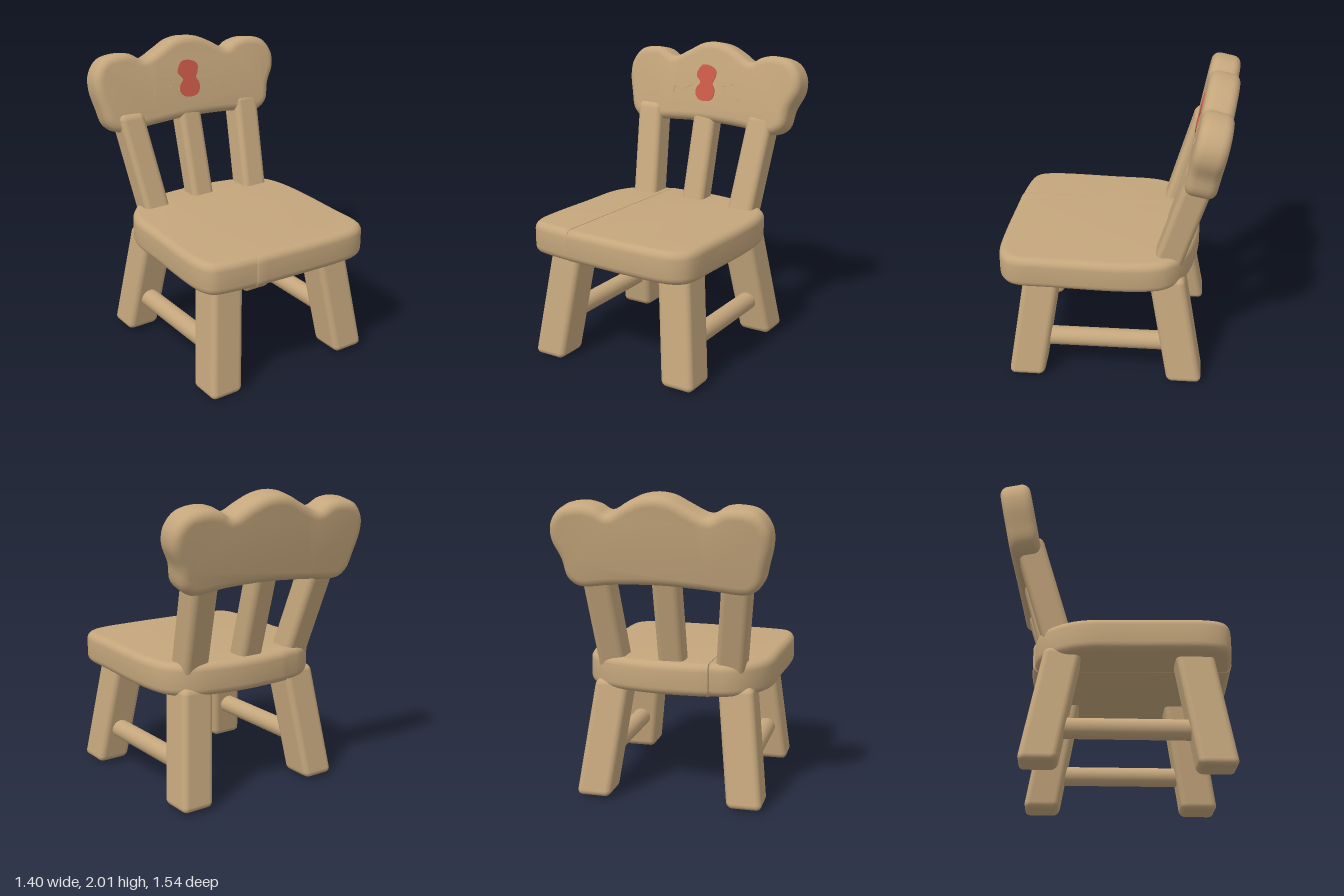
import * as THREE from 'three';
import { toCreasedNormals } from 'three/addons/utils/BufferGeometryUtils.js';
import { RoundedBoxGeometry } from 'three/addons/geometries/RoundedBoxGeometry.js';

const wood = new THREE.MeshStandardMaterial({ color: 0xc4a67c });
wood.name = 'wood';
const red = new THREE.MeshStandardMaterial({ color: 0xcb5a48 });
red.name = 'red paint';

const vec2 = (points) => points.map(([x, y]) => new THREE.Vector2(x, y));

// Smooth closed outline through a few points
function closedOutline(points, divisions) {
  const curve = new THREE.CatmullRomCurve3(points.map(([x, y]) => new THREE.Vector3(x, y, 0)), true);
  return new THREE.Shape(curve.getPoints(divisions).slice(0, -1).map((p) => new THREE.Vector2(p.x, p.y)));
}

// Slab with rounded rims that spans z = 0 to thickness and keeps its outline size
function slab(shape, thickness, round) {
  return new THREE.ExtrudeGeometry(shape, {
    depth: thickness - 2 * round, bevelThickness: round, bevelSize: round,
    bevelOffset: -round, bevelSegments: 5, curveSegments: 8,
  }).translate(0, 0, round);
}

function addMesh(parent, name, geometry, material = wood) {
  const mesh = new THREE.Mesh(geometry, material);
  mesh.name = name;
  parent.add(mesh);
  return mesh;
}

// Leaning square post between two centres, with level ends
function post(parent, name, bottom, top, width, depth) {
  const [x0, y0, z0] = bottom;
  const [x1, y1, z1] = top;
  const h = y1 - y0;
  const a = (x1 - x0) / h;
  const b = (z1 - z0) / h;
  const lean = new THREE.Matrix4().set(
    1, a, 0, (x0 + x1) / 2,
    0, 1, 0, (y0 + y1) / 2,
    0, b, 1, (z0 + z1) / 2,
    0, 0, 0, 1);
  addMesh(parent, name, new RoundedBoxGeometry(width, h, depth, 4, 0.04).applyMatrix4(lean));
}

// Seat joint line: x as a function of z
const jointX = (z) => -0.315 + (0.74 - z) * 0.035;

// One seat plank; its joint edge is squeezed to a fine groove
function plank(points) {
  const curve = new THREE.SplineCurve(vec2(points.map(([x, z]) => [x, -z])));
  const geo = slab(new THREE.Shape(curve.getPoints(points.length * 5)), 0.215, 0.05);
  geo.rotateX(-Math.PI / 2).translate(0, 0.72, 0);
  const pos = geo.attributes.position;
  for (let i = 0; i < pos.count; i++) {
    const j = jointX(pos.getZ(i));
    const d = pos.getX(i) - j;
    if (Math.abs(d) < 0.056) pos.setX(i, j + d * 0.12);
  }
  return toCreasedNormals(geo, 0.6);
}

export function createModel() {
  const chair = new THREE.Group();
  chair.name = 'chair';

  // Seat of two planks
  const seat = new THREE.Group();
  seat.name = 'seat';
  chair.add(seat);
  addMesh(seat, 'wideSeatPlank', plank([
    [jointX(0.74), 0.74], [-0.15, 0.75], [0.15, 0.765], [0.4, 0.765], [0.52, 0.725], [0.58, 0.63],
    [0.59, 0.4], [0.605, 0], [0.585, -0.25], [0.52, -0.38], [0.38, -0.47], [0.15, -0.525],
    [-0.05, -0.54], [jointX(-0.53), -0.53],
  ]));
  addMesh(seat, 'narrowSeatPlank', plank([
    [jointX(-0.53), -0.53], [-0.44, -0.48], [-0.56, -0.37], [-0.635, -0.2], [-0.65, 0.1],
    [-0.665, 0.4], [-0.66, 0.57], [-0.62, 0.67], [-0.53, 0.71], [jointX(0.74), 0.74],
  ]));

  // Splayed legs, and a round rung on each side
  for (const [side, x0, x1, y0] of [['right', -0.52, -0.43, 0], ['left', 0.485, 0.385, 0.015]]) {
    post(chair, side + 'FrontLeg', [x0, y0, 0.595], [x1, 0.78, 0.475], 0.23, 0.24);
    post(chair, side + 'RearLeg', [x0, 0.015, -0.475], [x1, 0.78, -0.335], 0.23, 0.235);
    const rung = addMesh(chair, side + 'Rung', new THREE.CylinderGeometry(0.064, 0.064, 0.9, 20));
    rung.rotation.x = Math.PI / 2;
    rung.position.set(x0 + (x1 - x0) * 0.33, 0.26, 0.07);
  }

  // Backrest slats
  post(chair, 'rightSlat', [-0.39, 0.82, -0.355], [-0.475, 1.56, -0.58], 0.185, 0.19);
  post(chair, 'middleSlat', [-0.015, 0.82, -0.37], [-0.015, 1.56, -0.57], 0.17, 0.16);
  post(chair, 'leftSlat', [0.385, 0.82, -0.325], [0.44, 1.56, -0.545], 0.185, 0.19);

  // Scalloped headboard, tilted back; its front face lies at local z = 0
  const headboard = new THREE.Group();
  headboard.name = 'headboard';
  headboard.rotation.set(-0.19, -0.06, 0, 'YXZ');
  headboard.position.set(0, 1.445, -0.455);
  chair.add(headboard);
  const local = (points) => points.map(([x, y]) => [x, (y - 1.43) * 1.03]);
  const outline = local([
    [-0.56, 1.425], [-0.3, 1.44], [0, 1.455], [0.3, 1.445], [0.53, 1.425], [0.61, 1.48],
    [0.64, 1.6], [0.695, 1.72], [0.69, 1.82], [0.62, 1.91], [0.48, 1.94], [0.38, 1.92],
    [0.31, 1.885], [0.2, 1.94], [0.1, 1.985], [0, 2], [-0.1, 1.985], [-0.2, 1.935],
    [-0.33, 1.88], [-0.42, 1.925], [-0.5, 1.935], [-0.62, 1.91], [-0.69, 1.82],
    [-0.7, 1.72], [-0.67, 1.59], [-0.635, 1.48],
  ]);
  addMesh(headboard, 'headboardPanel',
    toCreasedNormals(slab(closedOutline(outline, 104), 0.2, 0.055).translate(0, 0, -0.2), 0.6));

  // Painted nose
  const nose = closedOutline(local([
    [-0.09, 1.79], [-0.055, 1.835], [0.02, 1.83], [0.06, 1.8], [0.055, 1.75], [0.04, 1.715],
    [0.06, 1.68], [0.058, 1.63], [0.03, 1.598], [-0.055, 1.598], [-0.09, 1.635],
    [-0.088, 1.675], [-0.06, 1.715], [-0.095, 1.76],
  ]), 56);
  addMesh(headboard, 'nose',
    new THREE.ExtrudeGeometry(nose, { depth: 0.007, bevelEnabled: false }).translate(0, 0, -0.001), red);

  // Fine whisker marks, tapered toward the outer end
  const whiskers = [
    [-0.12, 1.705, -0.26, 1.75], [-0.12, 1.705, -0.19, 1.655], [-0.27, 1.68, -0.285, 1.63],
    [0.105, 1.7, 0.25, 1.735], [0.105, 1.7, 0.16, 1.655], [0.2, 1.64, 0.26, 1.62],
  ];
  for (const [x0, y0, x1, y1] of whiskers) {
    const length = Math.hypot(x1 - x0, y1 - y0);
    const mark = new THREE.Shape(vec2([[0, -0.004], [length, -0.001], [length, 0.001], [0, 0.004]]));
    const mesh = addMesh(headboard, 'whisker',
      new THREE.ExtrudeGeometry(mark, { depth: 0.004, bevelEnabled: false }));
    mesh.position.set(x0, (y0 - 1.43) * 1.03, -0.001);
    mesh.rotation.z = Math.atan2(y1 - y0, x1 - x0);
  }

  return chair;
}
